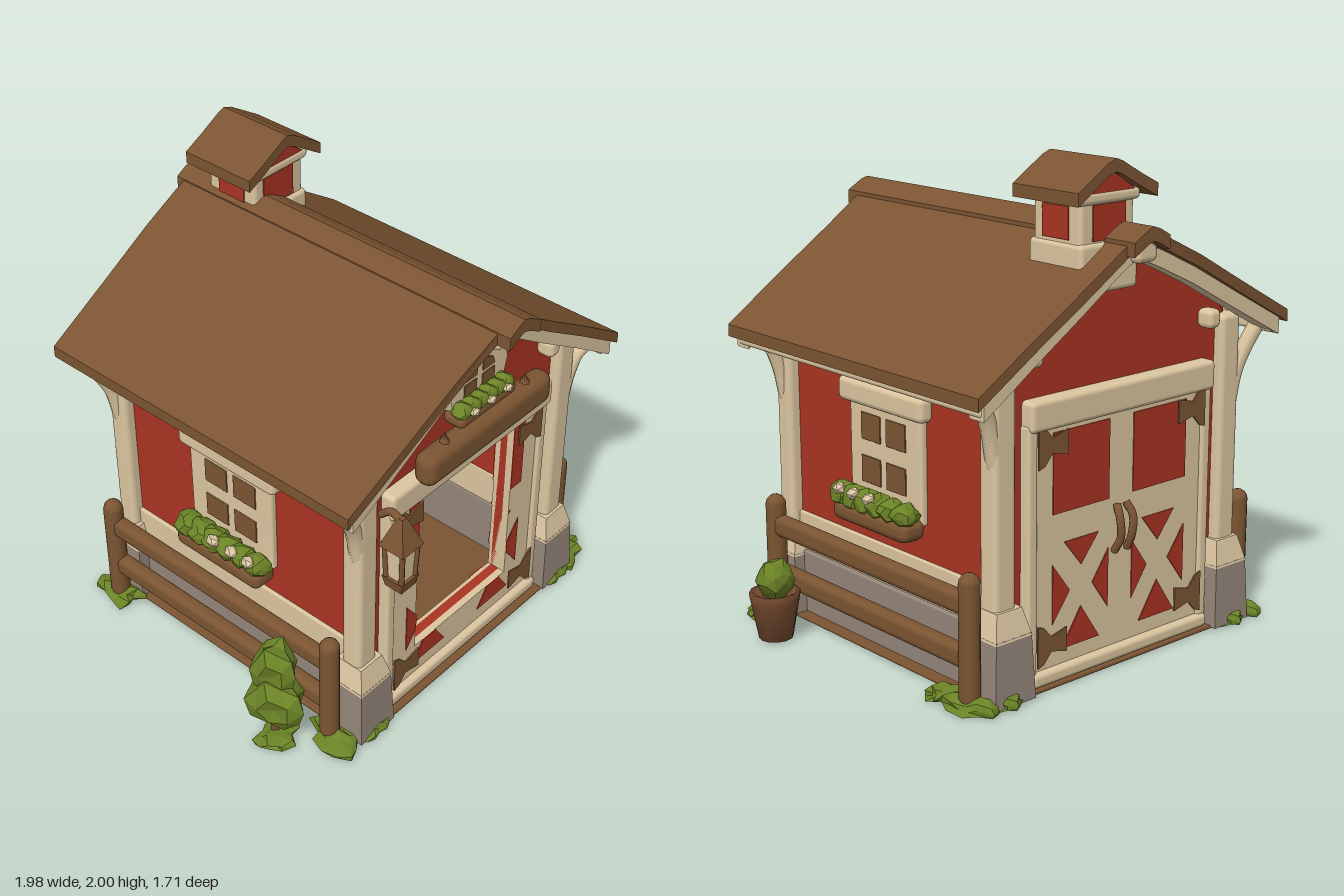
import * as THREE from 'three';
import { RoundedBoxGeometry } from 'three/addons/geometries/RoundedBoxGeometry.js';

const paint = (name, color) => Object.assign(new THREE.MeshStandardMaterial({ color }), { name });

export function createModel() {
  const red = paint('barnRed', 0xab3422), cream = paint('creamTrim', 0xdcc6a0), wood = paint('brownWood', 0x7c5532),
    stone = paint('greyStone', 0x95867a), leaf = paint('leafGreen', 0x6b8326), clay = paint('clayPot', 0x74492f);
  const model = new THREE.Group();
  model.name = 'barn';

  const add = (name, geo, mat, parent = model) => {
    const m = new THREE.Mesh(geo, mat);
    m.name = name;
    parent.add(m);
    return m;
  };
  // soft-edged box given by its min and max on each axis
  const box = (name, mat, x, y, z, r = 0.015, parent = model) => {
    const s = [x, y, z].map(a => Math.abs(a[1] - a[0]));
    const g = new RoundedBoxGeometry(...s, 2, Math.min(r, Math.min(...s) * 0.45));
    g.translate((x[0] + x[1]) / 2, (y[0] + y[1]) / 2, (z[0] + z[1]) / 2);
    return add(name, g, mat, parent);
  };
  const shapeOf = pts => new THREE.Shape(pts.map(p => new THREE.Vector2(...p)));
  // outline extruded between two z values
  const slab = (name, mat, shape, z0, z1, parent = model) => {
    const g = new THREE.ExtrudeGeometry(shape, { depth: z1 - z0, bevelEnabled: false, curveSegments: 16 });
    g.translate(0, 0, z0);
    return add(name, g, mat, parent);
  };
  const rect = (x0, x1, y0, y1) => [[x0, y0], [x1, y0], [x1, y1], [x0, y1]];
  // strip that follows a line of points, between two drops below it
  const band = (pts, top, bottom) => shapeOf([...pts.map(p => [p[0], p[1] - bottom]),
    ...[...pts].reverse().map(p => [p[0], p[1] - top])]);
  const tube = (name, mat, pts, r, parent = model) => add(name, new THREE.TubeGeometry(
    new THREE.CatmullRomCurve3(pts.map(p => new THREE.Vector3(...p))), 12, r, 8), mat, parent);
  // square tapered block
  const taper = (name, mat, w1, w0, y0, y1, x, z, parent) => {
    const g = new THREE.CylinderGeometry(w1 * Math.SQRT2, w0 * Math.SQRT2, y1 - y0, 4).toNonIndexed();
    g.rotateY(Math.PI / 4);
    g.computeVertexNormals();
    add(name, g, mat, parent).position.set(x, (y0 + y1) / 2, z);
  };
  // faceted irregular clump
  const clump = (name, mat, c, s, detail = 1, rough = 0.3, parent = model) => {
    const g = new THREE.IcosahedronGeometry(1, detail), p = g.attributes.position;
    for (let i = 0; i < p.count; i++) {
      const h = Math.sin(Math.round(p.getX(i) * 50) * 1.7 + Math.round(p.getY(i) * 50) * 2.3 + Math.round(p.getZ(i) * 50) * 3.1 + c[2] * 9);
      const k = 1 - rough / 2 + rough * h * 0.6;
      p.setXYZ(i, c[0] + p.getX(i) * s[0] * k, Math.max(0, c[1] + p.getY(i) * s[1] * k), c[2] + p.getZ(i) * s[2] * k);
    }
    g.computeVertexNormals();
    return add(name, g, mat, parent);
  };

  // roof with a slight sag, wider at the ridge than at the eaves
  const roofLine = [[-0.83, 1.31], [-0.52, 1.475], [-0.28, 1.605], [-0.1, 1.69], [0.03, 1.745], [0.12, 1.695], [0.3, 1.575], [0.55, 1.415], [0.82, 1.235]];
  const roof = slab('roof', wood, band(roofLine, 0, 0.05), -1, 1);
  const rp = roof.geometry.attributes.position;
  for (let i = 0; i < rp.count; i++) rp.setZ(i, rp.getZ(i) * (0.81 - 0.035 * Math.abs(rp.getX(i)) / 0.83) - 0.015);
  roof.geometry.computeVertexNormals();
  slab('ridgeCap', wood, band([[-0.055, 1.715], [0, 1.745], [0.03, 1.755], [0.06, 1.745], [0.13, 1.705]], 0, 0.055), -0.86, 0.85);

  // cream boards below the roof edge
  const boardLine = [[-0.79, 1.331], ...roofLine.slice(1, -1), [0.785, 1.258]];
  for (const [z0, z1] of [[0.67, 0.75], [-0.78, -0.7]]) slab('bargeBoard', cream, band(boardLine, 0.045, 0.118), z0, z1);
  for (const [z0, z1] of [[0.69, 0.79], [-0.82, -0.72]]) box('ridgeBlock', cream, [-0.04, 0.07], [1.61, 1.71], [z0, z1], 0.025);
  box('leftEaveBoard', cream, [0.74, 0.79], [1.15, 1.22], [-0.77, 0.74]);
  box('rightEaveBoard', cream, [-0.8, -0.75], [1.22, 1.295], [-0.77, 0.74]);

  // polygon clipping, so painted door pieces stop at the doorway
  const clip = (poly, axis, limit, sign) => poly.flatMap((a, i) => {
    const b = poly[(i + 1) % poly.length], da = (a[axis] - limit) * sign, db = (b[axis] - limit) * sign;
    const out = da >= 0 ? [a] : [], t = da / (da - db);
    if (da * db < 0) out.push([a[0] + (b[0] - a[0]) * t, a[1] + (b[1] - a[1]) * t]);
    return out;
  });
  const hole = { x0: -0.3, x1: 0.29, y0: 0.22, y1: 1.02 };
  const outsideHole = poly => {
    const mid = clip(clip(poly, 0, hole.x0, 1), 0, hole.x1, -1);
    return [clip(poly, 0, hole.x0, -1), clip(poly, 0, hole.x1, 1), clip(mid, 1, hole.y0, -1), clip(mid, 1, hole.y1, 1)]
      .filter(p => p.length > 2);
  };
  const doorway = new THREE.Path(rect(hole.x0, hole.x1, hole.y0, hole.y1).map(p => new THREE.Vector2(...p)));

  // door paint for the +x leaf; the other leaf is its mirror
  const panels = [rect(0.065, 0.36, 0.68, 1.0),
    [[0.12, 0.56], [0.3, 0.56], [0.21, 0.45]], [[0.11, 0.13], [0.31, 0.13], [0.21, 0.28]],
    [[0.065, 0.24], [0.065, 0.48], [0.15, 0.36]], [[0.36, 0.24], [0.36, 0.48], [0.27, 0.36]]];
  const hinge = y => [[0.45, y - 0.085], [0.45, y + 0.085], [0.42, y + 0.075], [0.38, y + 0.03], [0.3, y + 0.05], [0.3, y - 0.05], [0.38, y - 0.03], [0.42, y - 0.075]];
  const both = poly => [poly, poly.map(([x, y]) => [-x, y])];

  // end walls with double doors; the front one is open
  for (const front of [true, false]) {
    const end = new THREE.Group();
    end.name = front ? 'frontEnd' : 'backEnd';
    if (!front) {
      end.rotation.y = Math.PI;
      end.position.z = -0.025;
    }
    model.add(end);
    const inner = roofLine.slice(1, -1).map(([x, y]) => [front ? x : -x, y - 0.04]);
    if (!front) inner.reverse();
    const wall = shapeOf([[-0.6, 0.01], [0.6, 0.01], [0.6, 1.3], ...inner.reverse(), [-0.6, 1.3]]);
    const door = shapeOf(rect(-0.48, 0.49, 0.01, 1.1));
    if (front) { wall.holes.push(doorway); door.holes.push(doorway); }
    slab('gableWall', red, wall, 0.585, 0.625, end);
    slab('doors', cream, door, 0.57, 0.655, end);
    box('doorLintel', cream, [-0.49, 0.5], [1.02, 1.14], [0.6, 0.685], 0.02, end);
    box('doorSill', cream, [-0.48, 0.49], [0.012, 0.07], [0.6, 0.685], 0.02, end);
    for (const s of [-1, 1]) box('doorJamb', cream, [s * 0.445, s * 0.495], [0.02, 1.05], [0.6, 0.67], 0.015, end);
    const pieces = [...panels.flatMap(both).map(p => [p, red, 'doorPanel']),
      ...[0.96, 0.175].map(hinge).flatMap(both).map(p => [p, wood, 'hinge'])];
    for (const [poly, mat, name] of pieces)
      for (const part of front ? outsideHole(poly) : [poly]) {
        slab(name, mat, shapeOf(part), mat === red ? 0.655 : 0.67, mat === red ? 0.659 : 0.677, end);
        slab(name + 'Inside', mat, shapeOf(part), 0.565, 0.57, end);
      }
    if (!front) for (const s of [-1, 1]) {
      tube('handle', wood, [[s * 0.025, 0.65, 0.66], [s * 0.035, 0.6, 0.69], [s * 0.03, 0.52, 0.69], [s * 0.035, 0.46, 0.66]], 0.016, end);
      slab('handleInside', wood, shapeOf([[s * 0.03, 0.45], [s * 0.03 + 0.02, 0.5], [s * 0.03 + 0.01, 0.56], [s * 0.03 + 0.022, 0.63],
        [s * 0.03, 0.66], [s * 0.03 - 0.02, 0.62], [s * 0.03 - 0.008, 0.55], [s * 0.03 - 0.02, 0.48]]), 0.562, 0.57, end);
    }
    // corner posts on stone feet, with curved eave braces
    for (const s of [-1, 1]) {
      box('cornerPost', cream, [s * 0.55, s * 0.66], [0.25, 1.31], [0.575, 0.67], 0.025, end);
      taper('postFoot', stone, 0.088, 0.1, 0.006, 0.27, s * 0.6, 0.62, end);
      taper('postFootCap', cream, 0.062, 0.09, 0.26, 0.37, s * 0.6, 0.62, end);
      const top = s * (front ? 1 : -1) > 0 ? 1.19 : 1.26;
      tube('eaveBrace', cream, [[s * 0.63, 0.92, 0.635], [s * 0.66, 1.06, 0.64], [s * 0.7, 1.15, 0.65], [s * 0.765, top, 0.67]], 0.033, end);
      box('purlinEnd', cream, [s * 0.44, s * 0.51], [1.27, 1.35], [0.62, 0.7], 0.025, end);
    }
  }

  // side walls, windows and fences
  for (const s of [-1, 1]) {
    const side = new THREE.Group();
    side.name = s > 0 ? 'leftSide' : 'rightSide';
    model.add(side);
    const X = (a, b) => [s * a, s * b];
    box('sideWall', red, X(0.55, 0.61), [0.42, s > 0 ? 1.3 : 1.36], [-0.64, 0.61], 0.004, side);
    box('sideWallBand', cream, X(0.545, 0.625), [0.27, 0.44], [-0.64, 0.61], 0.006, side);
    box('sideWallBase', stone, X(0.54, 0.64), [0.006, 0.28], [-0.64, 0.61], 0.01, side);
    box('windowBoard', cream, X(0.6, 0.64), [0.58, 1.06], [-0.25, 0.195], 0.015, side);
    box('windowHead', cream, X(0.6, 0.67), [1.0, 1.1], [-0.285, 0.235], 0.025, side);
    // window seen from indoors
    box('insideWindowFrame', cream, X(0.545, 0.552), [0.6, 1.08], [-0.25, 0.195], 0.002, side);
    box('insideWindowLedge', wood, X(0.542, 0.552), [0.53, 0.61], [-0.25, 0.195], 0.002, side);
    for (const z of [-0.1, 0.055]) for (const y of [0.74, 0.915]) for (const x of [[0.638, 0.645], [0.54, 0.548]])
      box('windowPane', wood, X(...x), [y - 0.055, y + 0.055], [z - 0.06, z + 0.06], 0.003, side);
    box('flowerBox', wood, X(0.62, 0.74), [0.53, 0.615], [-0.26, 0.2], 0.035, side);
    for (let i = 0; i < 6; i++) clump('boxPlant', leaf, [s * 0.695, 0.635, -0.215 + i * 0.075], [0.06, 0.057, 0.07], 1, 0.2, side);
    for (const z of [-0.04, 0.06, 0.15]) clump('flower', cream, [s * 0.73, 0.665, z], [0.03, 0.028, 0.035], 0, 0.1, side);
    for (const z of [0.585, -0.64]) {
      const post = add('fencePost', new THREE.CapsuleGeometry(0.042, 0.45, 4, 10), wood, side);
      post.position.set(s * 0.737, 0.268, z);
      clump('postGrass', leaf, [s * 0.735, 0.015, z + (z < 0 ? 0.0 : 0.04)], [0.1, 0.045, 0.15], 1, 0.45, side);
    }
    for (const y of [0.195, 0.405]) box('fenceRail', wood, X(0.7, 0.765), [y - 0.045, y + 0.045], [-0.64, 0.585], 0.028, side);
  }
  box('floor', wood, [-0.69, 0.69], [0, 0.014], [-0.72, 0.71], 0.004);

  // arched gable window with flower box, and blank board above the doors
  const arch = shapeOf([[-0.15, 1.34], [0.15, 1.34], [0.172, 1.43]]);
  arch.absellipse(0, 1.43, 0.172, 0.125, 0, Math.PI, false);
  slab('gableWindow', cream, arch, 0.62, 0.68);
  for (const s of [-1, 1]) {
    slab('gablePane', wood, shapeOf(both(rect(0.018, 0.09, 1.385, 1.437))[s > 0 ? 0 : 1]), 0.68, 0.685);
    slab('gablePane', wood, shapeOf([[s * 0.018, 1.453], [s * 0.09, 1.453], [s * 0.075, 1.49], [s * 0.018, 1.513]]), 0.68, 0.685);
    add('boardHook', new THREE.ConeGeometry(0.03, 0.06, 6), wood).position.set(s * 0.245 + 0.01, 1.29, 0.71);
  }
  box('gableFlowerBox', wood, [-0.17, 0.17], [1.295, 1.35], [0.64, 0.74], 0.025);
  for (let i = 0; i < 6; i++) {
    clump('gablePlant', leaf, [-0.125 + i * 0.05, 1.352, 0.7], [0.048, 0.04, 0.05], 1, 0.2);
    if (i % 2) clump('gableFlower', cream, [-0.15 + i * 0.05, 1.355, 0.745], [0.026, 0.018, 0.018], 0, 0.1);
  }
  box('blankBoard', wood, [-0.37, 0.39], [1.135, 1.28], [0.66, 0.76], 0.046);

  // cupola
  box('cupolaBody', cream, [-0.03, 0.25], [1.5, 1.88], [-0.7, -0.445], 0.02);
  box('cupolaSkirt', cream, [-0.04, 0.26], [1.5, 1.69], [-0.715, -0.43], 0.02);
  box('cupolaCollar', cream, [-0.05, 0.27], [1.83, 1.88], [-0.715, -0.43], 0.02);
  box('cupolaPanelFront', red, [0.02, 0.19], [1.695, 1.83], [-0.45, -0.44], 0.003);
  box('cupolaPanelBack', red, [0.02, 0.19], [1.695, 1.83], [-0.705, -0.695], 0.003);
  box('cupolaPanelSide', red, [-0.035, 0.255], [1.7, 1.825], [-0.64, -0.5], 0.003);
  slab('cupolaGable', red, shapeOf([[-0.04, 1.86], [0.26, 1.86], [0.115, 1.96]]), -0.71, -0.435);
  slab('cupolaRoof', wood, band([[-0.1, 1.89], [-0.01, 1.935], [0.09, 1.99], [0.12, 2], [0.16, 1.985], [0.31, 1.89]], 0, 0.05), -0.75, -0.4);

  // square lantern on an arm
  const lantern = new THREE.Group();
  lantern.name = 'lantern';
  lantern.position.set(-0.545, 0, 0.77);
  model.add(lantern);
  taper('lanternRoof', wood, 0.012, 0.06, 1.01, 1.14, 0, 0, lantern);
  taper('lanternGlass', cream, 0.044, 0.037, 0.85, 1.02, 0, 0, lantern);
  taper('lanternBase', wood, 0.05, 0.04, 0.81, 0.86, 0, 0, lantern);
  for (const x of [-1, 1]) for (const z of [-1, 1])
    tube('lanternBar', wood, [[x * 0.037, 0.84, z * 0.037], [x * 0.044, 1.03, z * 0.044]], 0.011, lantern);
  tube('lanternArm', wood, [[0, 1.1, -0.1], [0, 1.14, -0.05], [0, 1.125, 0]], 0.016, lantern);

  // shrub on one side, potted plant on the other, and loose grass
  add('shrubTrunk', new THREE.CylinderGeometry(0.015, 0.02, 0.16, 6), wood).position.set(-0.88, 0.08, 0.42);
  clump('shrub', leaf, [-0.885, 0.24, 0.43], [0.115, 0.14, 0.15]);
  clump('shrubTop', leaf, [-0.865, 0.38, 0.41], [0.1, 0.14, 0.11]);
  clump('shrubGrass', leaf, [-0.88, 0.015, 0.43], [0.11, 0.04, 0.1], 1, 0.45);
  add('pot', new THREE.LatheGeometry([[0, 0.005], [0.07, 0.005], [0.1, 0.17], [0.105, 0.2], [0.09, 0.205], [0.085, 0.18], [0, 0.18]].map(p => new THREE.Vector2(...p)), 12), clay)
    .position.set(0.885, 0, 0.395);
  clump('potPlant', leaf, [0.885, 0.25, 0.395], [0.085, 0.095, 0.085], 1, 0.2);
  for (const [x, z] of [[-0.6, 0.7], [0.61, 0.7], [0.75, -0.5], [-0.62, -0.72], [0.62, -0.72], [0.78, 0.62]])
    clump('grass', leaf, [x, 0.015, z], [0.09, 0.04, 0.06], 1, 0.45);
  return model;
}
